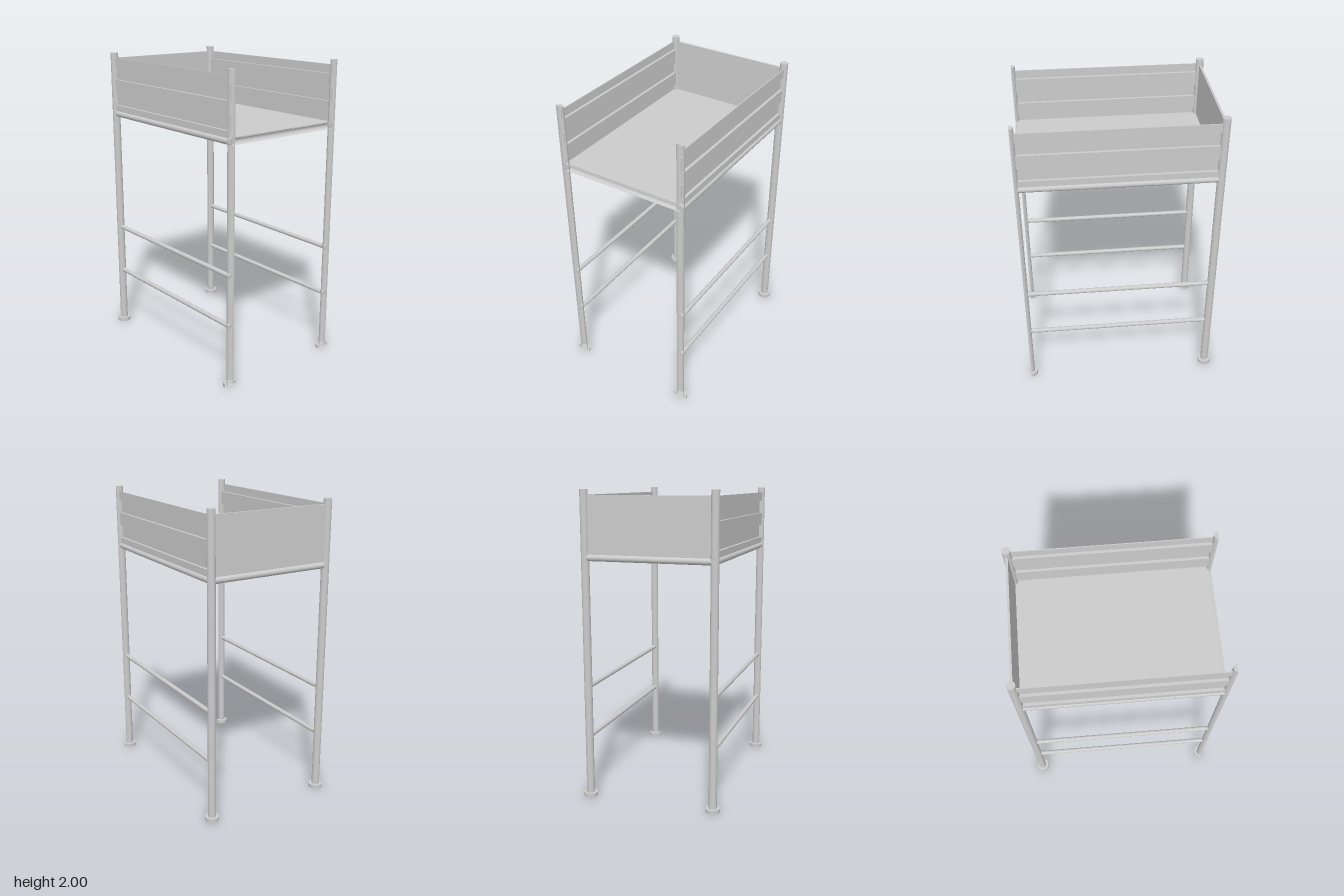
import * as THREE from 'three';

export function createModel() {
  const model = new THREE.Group();
  const mat = new THREE.MeshStandardMaterial({ color: 0xcccccc, side: THREE.DoubleSide });
  const LEFT = 0.653, RIGHT = -0.61, Z = 0.42; // post axes; the left end is cut through its axis

  function add(name, geometry, x = 0, y = 0, z = 0) {
    const mesh = new THREE.Mesh(geometry, mat);
    mesh.name = name;
    mesh.position.set(x, y, z);
    model.add(mesh);
    return mesh;
  }

  // Upright cylinder, or only its inner (-x) half, open on the cut
  const upright = (r, h, half) => half
    ? new THREE.CylinderGeometry(r, r, h, 16, 1, false, Math.PI, Math.PI)
    : new THREE.CylinderGeometry(r, r, h, 32);

  // Horizontal tube running along x
  function railX(name, r, y, z) {
    const end = LEFT - 0.005;
    const g = new THREE.CylinderGeometry(r, r, end - RIGHT, 20).rotateZ(Math.PI / 2);
    add(name, g, (RIGHT + end) / 2, y, z);
  }

  // Stepped siding: bands alternate between two depths
  function siding() {
    const levels = [1.6, 1.642, 1.73, 1.8175, 1.905, 1.965];
    const s = new THREE.Shape();
    const outline = [];
    for (let i = 0; i < levels.length - 1; i++) {
      const d = i % 2 ? -0.009 : 0.009;
      outline.push([d, levels[i]], [d, levels[i + 1]]);
    }
    const t = 0.003;
    outline.forEach(([d, y], i) => (i ? s.lineTo(d + t, y) : s.moveTo(d + t, y)));
    // Return path is shifted at the steps so the sheet keeps its thickness
    for (let i = outline.length - 1; i >= 0; i--) {
      const [d, y] = outline[i];
      const inner = i > 0 && i < outline.length - 1;
      const stepOut = Math.floor((i - 1) / 2) % 2 === 1;
      s.lineTo(d - t, inner ? y + (stepOut ? 0.005 : -0.005) : y);
    }
    const length = LEFT - 0.02 - (RIGHT + 0.015);
    return new THREE.ExtrudeGeometry(s, { depth: length, bevelEnabled: false })
      .translate(0, 0, -length / 2).rotateY(-Math.PI / 2);
  }

  for (const side of [1, -1]) {
    const label = side > 0 ? 'front' : 'back';
    // Posts and round feet, full at the right, halved at the left
    for (const [x, half] of [[RIGHT, false], [LEFT, true]]) {
      const end = half ? 'Left' : 'Right';
      add(label + end + 'Post', upright(0.026, 1.995, half), x, 1.0025, side * Z);
      add(label + end + 'Foot', upright(0.046, 0.026, half), x, 0.013, side * Z);
    }
    // Long rails
    railX(label + 'LowerRail', 0.015, 0.41, side * Z);
    railX(label + 'MiddleRail', 0.015, 0.745, side * Z);
    railX(label + 'DeckRail', 0.021, 1.58, side * Z);
    // Side wall
    const wall = add(label + 'Siding', siding(), (LEFT + RIGHT - 0.005) / 2, 0, side * Z);
    if (side < 0) wall.rotation.y = Math.PI;
  }

  // Cross rails under the deck ends
  add('rightDeckRail', new THREE.CylinderGeometry(0.021, 0.021, 2 * Z, 20).rotateX(Math.PI / 2), RIGHT, 1.58, 0);
  add('leftDeckRail',
    new THREE.CylinderGeometry(0.021, 0.021, 2 * Z, 12, 1, false, Math.PI, Math.PI).rotateX(Math.PI / 2),
    LEFT, 1.58, 0);

  // Deck and plain end wall
  add('deck', new THREE.BoxGeometry(LEFT - 0.012 - RIGHT, 0.008, 2 * Z), (LEFT - 0.012 + RIGHT) / 2, 1.598, 0);
  add('endWall', new THREE.BoxGeometry(0.014, 0.365, 2 * Z - 0.03), RIGHT, 1.7825, 0);

  return model;
}
